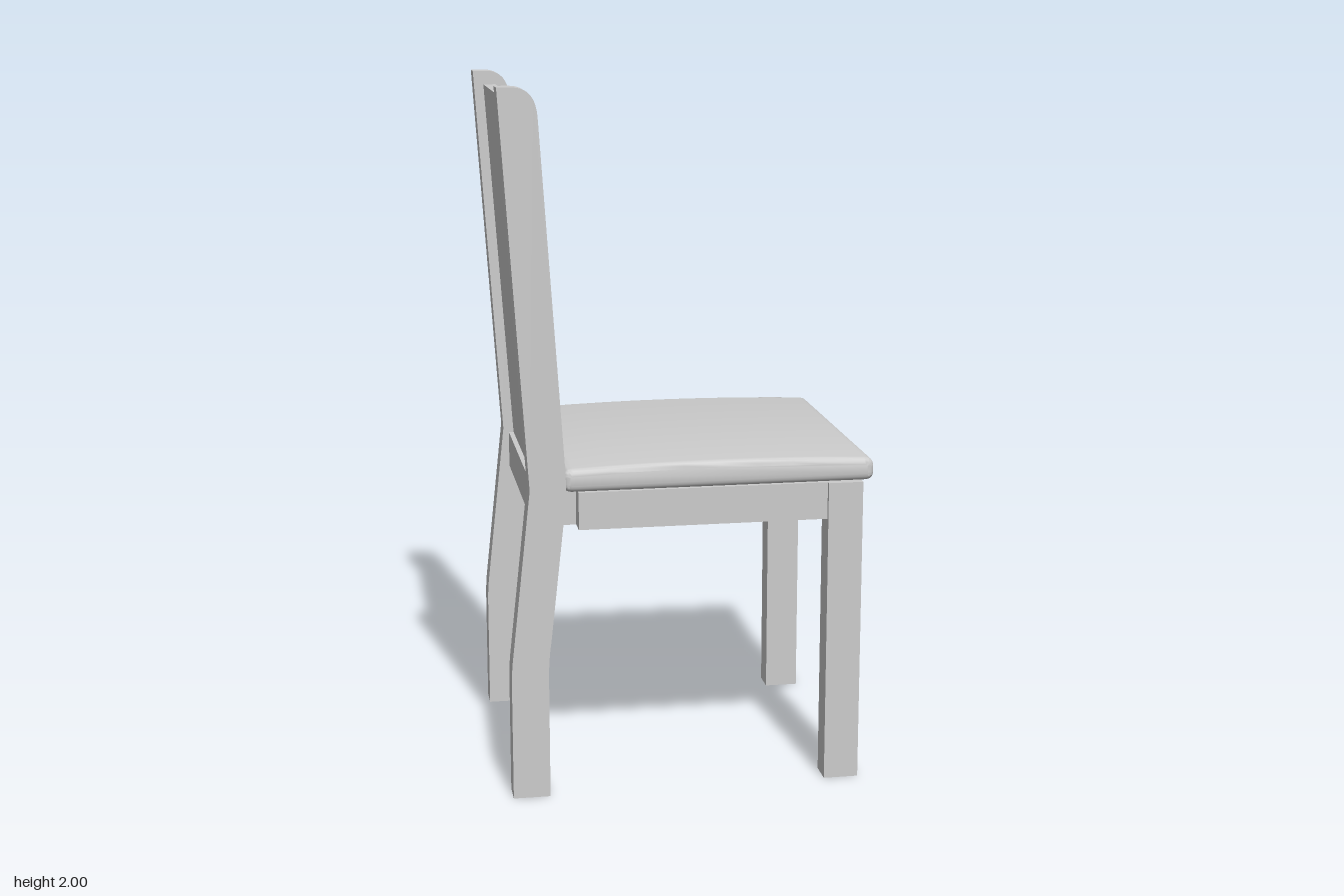
import * as THREE from 'three';
import { toCreasedNormals } from 'three/addons/utils/BufferGeometryUtils.js';

const material = new THREE.MeshStandardMaterial({ color: 0xcccccc });

export function createModel() {
  const chair = new THREE.Group();
  chair.name = 'chair';

  const add = (name, geometry, x = 0, y = 0, z = 0) => {
    const mesh = new THREE.Mesh(geometry, material);
    mesh.name = name;
    mesh.position.set(x, y, z);
    chair.add(mesh);
  };

  // Extrudes a side profile symmetrically about z = 0
  const extrude = (shape, width, bevel = 0) => {
    const depth = width - 2 * bevel;
    const geometry = new THREE.ExtrudeGeometry(shape, {
      depth, curveSegments: 8, bevelEnabled: bevel > 0, bevelSize: bevel,
      bevelThickness: bevel, bevelOffset: -bevel, bevelSegments: 4,
    });
    geometry.translate(0, 0, -depth / 2);
    return toCreasedNormals(geometry, 0.6);
  };

  // Bent rear posts with a rounded top front corner
  const post = new THREE.Shape();
  post.moveTo(-0.515, 0);
  post.lineTo(-0.41, 0);
  post.lineTo(-0.41, 0.35);
  post.quadraticCurveTo(-0.41, 0.41, -0.402, 0.46);
  post.lineTo(-0.361, 0.83);
  post.quadraticCurveTo(-0.354, 0.89, -0.358, 0.96);
  post.lineTo(-0.421, 1.92);
  post.bezierCurveTo(-0.424, 1.97, -0.445, 2, -0.49, 2);
  post.lineTo(-0.53, 2);
  post.lineTo(-0.457, 0.9);
  post.lineTo(-0.51, 0.42);
  post.quadraticCurveTo(-0.515, 0.38, -0.515, 0.33);
  post.closePath();

  for (const [side, s] of [['left', 1], ['right', -1]]) {
    add(`${side}BackPost`, extrude(post, 0.076), 0, 0, s * 0.394);
    add(`${side}FrontLeg`, new THREE.BoxGeometry(0.1, 0.886, 0.076), 0.44, 0.443, s * 0.394);
  }

  // Solid seat frame set just inside the legs
  add('seatFrame', new THREE.BoxGeometry(0.8, 0.107, 0.84), 0.08, 0.8325, 0);
  add('rearRail', new THREE.BoxGeometry(0.13, 0.107, 0.72), -0.375, 0.8325, 0);

  // Leaning back panel
  const panel = new THREE.Shape();
  panel.moveTo(-0.425, 0.88);
  panel.lineTo(-0.387, 0.88);
  panel.lineTo(-0.463, 1.96);
  panel.lineTo(-0.499, 1.96);
  panel.closePath();
  add('backPanel', extrude(panel, 0.715));

  // Slightly domed cushion with rounded edges
  const seat = new THREE.Shape();
  seat.moveTo(-0.335, 0.886);
  seat.lineTo(0.497, 0.886);
  seat.quadraticCurveTo(0.525, 0.886, 0.525, 0.91);
  seat.lineTo(0.525, 0.926);
  seat.quadraticCurveTo(0.525, 0.95, 0.497, 0.953);
  seat.quadraticCurveTo(0.08, 0.972, -0.335, 0.953);
  seat.quadraticCurveTo(-0.363, 0.951, -0.363, 0.928);
  seat.lineTo(-0.363, 0.91);
  seat.quadraticCurveTo(-0.363, 0.886, -0.335, 0.886);
  add('seatCushion', extrude(seat, 0.845, 0.02));

  return chair;
}
